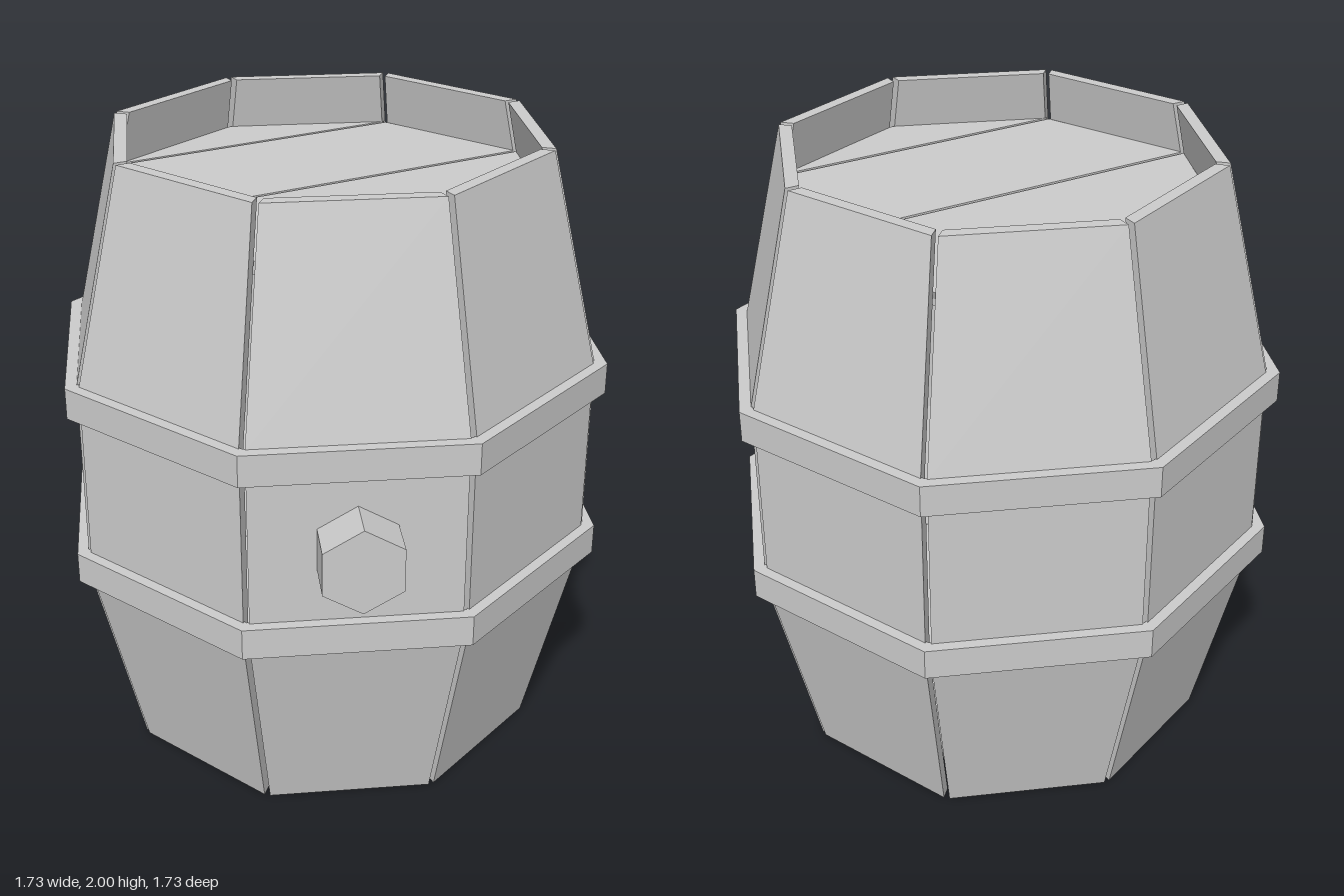
import * as THREE from 'three';

const SIDES = 8;
const STEP = (Math.PI * 2) / SIDES;
const TURN = THREE.MathUtils.degToRad(7.3); // twist of the whole barrel about y
const GAP = 0.01; // half the gap between neighbouring staves
const WALL = 0.04;

const material = new THREE.MeshStandardMaterial({ color: 0xcccccc, flatShading: true });

function addMesh(parent, name, geometry) {
  const mesh = new THREE.Mesh(geometry, material);
  mesh.name = name;
  parent.add(mesh);
  return mesh;
}

// One bent board facing +z, lofted through [height, corner radius] levels
function staveGeometry() {
  const levels = [[0, 0.7], [0.67, 0.86], [1.33, 0.86], [2, 0.7]];
  const positions = [];
  const index = [];
  for (const [y, radius] of levels) {
    const outer = radius * Math.cos(STEP / 2);
    const inner = outer - WALL;
    const wo = outer * Math.tan(STEP / 2) - GAP;
    const wi = inner * Math.tan(STEP / 2) - GAP;
    positions.push(-wo, y, outer, wo, y, outer, wi, y, inner, -wi, y, inner);
  }
  for (let l = 0; l < levels.length - 1; l++) {
    for (let c = 0; c < 4; c++) {
      const a = l * 4 + c;
      const b = l * 4 + ((c + 1) % 4);
      index.push(a, b, b + 4, a, b + 4, a + 4);
    }
  }
  const t = (levels.length - 1) * 4;
  index.push(0, 3, 2, 0, 2, 1, t, t + 1, t + 2, t, t + 2, t + 3);
  const geometry = new THREE.BufferGeometry();
  geometry.setAttribute('position', new THREE.Float32BufferAttribute(positions, 3));
  geometry.setIndex(index);
  geometry.computeVertexNormals();
  return geometry;
}

// Eight-sided band with a rectangular section
function hoopGeometry() {
  const section = [[0.897, -0.05], [0.897, 0.05], [0.852, 0.05], [0.852, -0.05], [0.897, -0.05]];
  return new THREE.LatheGeometry(section.map(([x, y]) => new THREE.Vector2(x, y)), SIDES);
}

// Strip of the octagonal lid between two of its corners, lying flat
function plankGeometry(k, radius, thickness) {
  const seam = 0.006;
  const u0 = radius * Math.cos((k + 1) * STEP);
  const u1 = radius * Math.cos(k * STEP);
  const h0 = radius * Math.sin((k + 1) * STEP);
  const h1 = radius * Math.sin(k * STEP);
  const left = k === 3 ? u0 : u0 + seam;
  const right = k === 0 ? u1 : u1 - seam;
  const points = [new THREE.Vector2(left, -h0)];
  if (k === 0) points.push(new THREE.Vector2(right, 0));
  else points.push(new THREE.Vector2(right, -h1), new THREE.Vector2(right, h1));
  if (k === 3) points[0].y = 0;
  else points.push(new THREE.Vector2(left, h0));
  const geometry = new THREE.ExtrudeGeometry(new THREE.Shape(points), { depth: thickness, bevelEnabled: false });
  return geometry.rotateX(-Math.PI / 2);
}

export function createModel() {
  const barrel = new THREE.Group();
  barrel.name = 'barrel';

  // Staves
  const staves = new THREE.Group();
  staves.name = 'staves';
  barrel.add(staves);
  const stave = staveGeometry();
  for (let i = 0; i < SIDES; i++) {
    addMesh(staves, 'stave', stave).rotation.y = TURN + i * STEP;
  }

  // Hoops
  const hoop = hoopGeometry();
  for (const [name, y] of [['lowerHoop', 0.71], ['upperHoop', 1.285]]) {
    const mesh = addMesh(barrel, name, hoop);
    mesh.position.y = y;
    mesh.rotation.y = TURN + STEP / 2;
  }

  // Sunken lid of four planks
  const lid = new THREE.Group();
  lid.name = 'lid';
  lid.position.y = 1.79;
  lid.rotation.y = TURN - STEP / 2;
  barrel.add(lid);
  for (let k = 0; k < 4; k++) addMesh(lid, 'lidPlank', plankGeometry(k, 0.695, 0.04));

  // Raised base
  const base = addMesh(barrel, 'base', new THREE.CylinderGeometry(0.695, 0.695, 0.04, SIDES));
  base.position.y = 0.19;
  base.rotation.y = TURN + STEP / 2;

  // Six-sided bung in the middle of one stave
  const bungPivot = new THREE.Group();
  bungPivot.name = 'bung';
  bungPivot.rotation.y = TURN + STEP;
  barrel.add(bungPivot);
  const plug = new THREE.CylinderGeometry(0.137, 0.137, 0.18, 6).rotateX(Math.PI / 2);
  addMesh(bungPivot, 'bungPlug', plug).position.set(0, 1, 0.845);

  return barrel;
}
